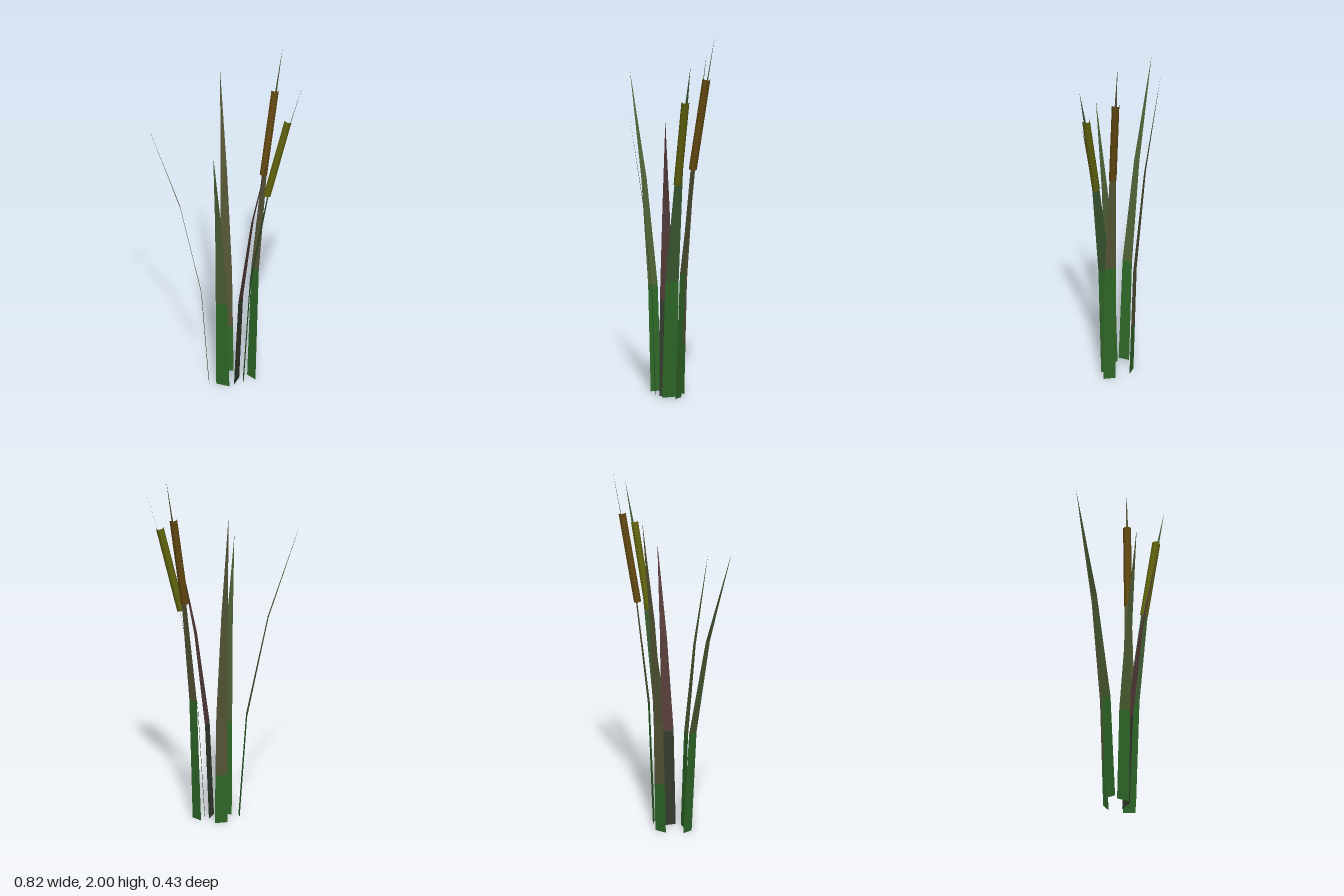
import * as THREE from 'three';

const leafMat = (name, color) => {
  const m = new THREE.MeshStandardMaterial({ color, side: THREE.DoubleSide, flatShading: true });
  m.name = name;
  return m;
};

// Rings along every blade: [height fraction, outward lean, width fraction]
const RINGS = [[0, 0, 1], [0.34, 0.12, 0.9], [0.67, 0.46, 0.5], [1, 1, 0]];

function ringAt(t) {
  const i = Math.max(1, RINGS.findIndex((r) => r[0] >= t));
  const a = RINGS[i - 1], b = RINGS[i];
  const k = (t - a[0]) / (b[0] - a[0]);
  return a.map((v, j) => v + (b[j] - v) * k);
}

// Ribbon through a few rings; the width runs across the lean direction
function ribbon(name, rings, { base, tip, height, width }, material) {
  const dx = tip[0] - base[0], dz = tip[1] - base[1], len = Math.hypot(dx, dz);
  const pos = [], index = [];
  rings.forEach(([t, lean, w], i) => {
    for (const s of [-1, 1]) {
      const h = s * w * width / 2;
      pos.push(base[0] + dx * lean - dz / len * h, t * height, base[1] + dz * lean + dx / len * h);
    }
    if (i === 0) return;
    const a = 2 * (i - 1);
    index.push(a, a + 2, a + 1);
    if (w > 0) index.push(a + 1, a + 2, a + 3);
  });
  const g = new THREE.BufferGeometry();
  g.setAttribute('position', new THREE.Float32BufferAttribute(pos, 3));
  g.setIndex(index);
  g.computeVertexNormals();
  const mesh = new THREE.Mesh(g, material);
  mesh.name = name;
  return mesh;
}

// Blade with a differently coloured lower part
function blade(name, spec) {
  const split = spec.split ?? 0.34;
  const cut = ringAt(split);
  const group = new THREE.Group();
  group.name = name;
  group.add(
    ribbon(name + 'Lower', [RINGS[0], cut], spec, spec.lower),
    ribbon(name + 'Upper', [cut, ...RINGS.filter((r) => r[0] > split)], spec, spec.upper)
  );
  return group;
}

// Open six-sided seed head between two points on the stalk
function seedHead(name, from, to, radius, material) {
  const a = new THREE.Vector3(...from), b = new THREE.Vector3(...to);
  const dir = b.clone().sub(a);
  const mesh = new THREE.Mesh(new THREE.CylinderGeometry(radius, radius, dir.length(), 6, 1, true), material);
  mesh.quaternion.setFromUnitVectors(new THREE.Vector3(0, 1, 0), dir.normalize());
  mesh.position.copy(a).add(b).multiplyScalar(0.5);
  mesh.name = name;
  return mesh;
}

export function createModel() {
  const green = leafMat('leafGreen', 0x2f6828);
  const olive = leafMat('leafOlive', 0x4c5e33);
  const khaki = leafMat('leafKhaki', 0x565637);
  const moss = leafMat('stalkMoss', 0x3c5c33);
  const plum = leafMat('leafPlum', 0x563d3a);
  const dusk = leafMat('leafDusk', 0x333c2d);
  const brown = new THREE.MeshStandardMaterial({ color: 0x664a12 });
  brown.name = 'seedBrown';
  const yellow = new THREE.MeshStandardMaterial({ color: 0x64660f });
  yellow.name = 'seedYellow';

  const model = new THREE.Group();
  model.name = 'reedClump';
  model.add(
    // Plain leaves
    blade('rightLeaf', { base: [-0.08, 0.055], tip: [-0.41, 0.127], height: 1.68, width: 0.062, lower: green, upper: olive }),
    blade('backLeaf', { base: [0.003, -0.062], tip: [-0.055, -0.215], height: 1.82, width: 0.07, lower: green, upper: khaki, split: 0.15 }),
    blade('frontLeaf', { base: [-0.003, 0.075], tip: [-0.037, 0.212], height: 1.54, width: 0.075, lower: green, upper: olive }),
    blade('leftLeaf', { base: [0.065, 0.028], tip: [0.255, 0.075], height: 1.54, width: 0.078, lower: dusk, upper: plum }),
    // Stalks carrying seed heads
    blade('leftStalk', { base: [0.1, 0.02], tip: [0.41, -0.03], height: 1.86, width: 0.085, lower: green, upper: moss }),
    blade('backStalk', { base: [0.138, -0.02], tip: [0.285, -0.19], height: 2, width: 0.066, lower: green, upper: khaki }),
    seedHead('leftSeedHead', [0.226, 1.18, 0.002], [0.337, 1.65, -0.017], 0.022, yellow),
    seedHead('backSeedHead', [0.195, 1.253, -0.087], [0.25, 1.753, -0.15], 0.022, brown)
  );
  return model;
}
